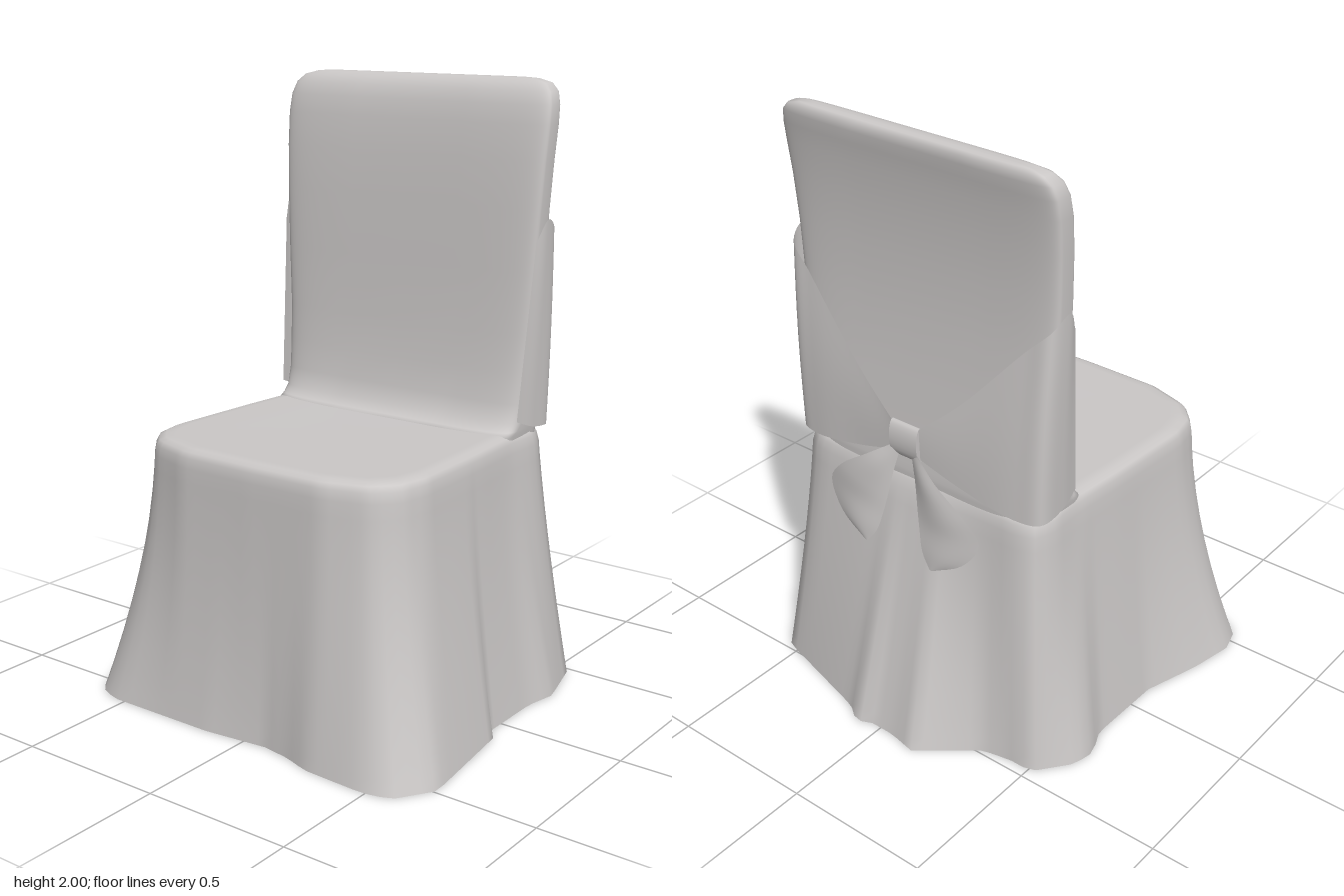
import * as THREE from 'three';

const fabric = new THREE.MeshStandardMaterial({ color: 0xcbc8c7, side: THREE.DoubleSide });
fabric.name = 'grey fabric';

// Skin a list of rows (each a list of [x, y, z]) into a smooth surface.
function loft(rows, closed) {
  const n = rows[0].length, index = [];
  for (let i = 0; i < rows.length - 1; i++) {
    for (let j = 0; j < (closed ? n : n - 1); j++) {
      const k = (j + 1) % n;
      const a = i * n + j, b = i * n + k, c = (i + 1) * n + k, d = (i + 1) * n + j;
      index.push(a, b, c, a, c, d);
    }
  }
  const g = new THREE.BufferGeometry();
  g.setAttribute('position', new THREE.Float32BufferAttribute(rows.flat(2), 3));
  g.setIndex(index);
  g.computeVertexNormals();
  return g;
}

function part(name, geometry) {
  const m = new THREE.Mesh(geometry, fabric);
  m.name = name;
  return m;
}

const CZ = 0.07; // centre of the seat plan

// Distance from the seat centre to a plan outline along angle a.
function reach(outline, a) {
  const dx = Math.sin(a), dz = Math.cos(a);
  let best = 0;
  outline.forEach(([x1, z1], i) => {
    const [x2, z2] = outline[(i + 1) % outline.length];
    const ex = x2 - x1, ez = z2 - z1, det = ex * dz - ez * dx;
    if (Math.abs(det) < 1e-9) return;
    const t = (ex * (z1 - CZ) - ez * x1) / det;
    const s = (dx * (z1 - CZ) - dz * x1) / det;
    if (t > 0 && s >= -1e-6 && s <= 1 + 1e-6) best = Math.max(best, t);
  });
  return best;
}

// Draped skirt with a wavy hem, closed by the seat top.
function skirtGeometry() {
  const hem = [
    [-0.14, 0.6], [0.08, 0.575], [0.18, 0.59], [0.27, 0.62], [0.49, 0.63], [0.58, 0.61], [0.66, 0.49],
    [0.645, 0.37], [0.61, 0.1], [0.577, 0.08], [0.577, -0.17], [0.6, -0.28], [0.545, -0.48], [0.15, -0.59],
    [0.09, -0.635], [0.04, -0.61], [-0.05, -0.61], [-0.15, -0.63], [-0.33, -0.485], [-0.43, -0.465],
    [-0.51, -0.465], [-0.6, -0.35], [-0.615, -0.27], [-0.575, -0.18], [-0.58, 0.1], [-0.64, 0.3],
    [-0.67, 0.46], [-0.64, 0.56], [-0.55, 0.6]];
  const half = [[0.27, 0.545], [0.42, 0.5], [0.485, 0.43], [0.505, 0.33], [0.49, 0],
    [0.475, -0.2], [0.48, -0.32], [0.46, -0.385], [0.4, -0.41]];
  const seat = [[0, 0.55], ...half, [0, -0.415], ...half.map(([x, z]) => [-x, z]).reverse()];
  const N = 120, rays = [];
  for (let j = 0; j < N; j++) {
    const a = (j / N) * Math.PI * 2, c = Math.cos(a);
    // the front hangs straighter than the back
    rays.push({ a, hem: reach(hem, a), seat: reach(seat, a), p: c > 0 ? 1.4 + 0.8 * c * c : 1.4 - 0.3 * c * c });
  }
  const at = (ray, r, y) => [Math.sin(ray.a) * r, y, CZ + Math.cos(ray.a) * r];
  const rows = [0, 0.04, 0.1, 0.2, 0.3, 0.4, 0.5, 0.6, 0.7, 0.78, 0.83].map(y =>
    rays.map(r => at(r, r.seat + (r.hem - r.seat) * Math.pow(1 - y / 0.89, r.p), y)));
  for (const [y, k] of [[0.862, 0.993], [0.88, 0.975], [0.888, 0.94], [0.89, 0.88], [0.888, 0.5], [0.887, 0.001]])
    rows.push(rays.map(r => at(r, r.seat * k, y)));
  return loft(rows, true);
}

// Covered backrest: rounded sections of [y, half width, front z, back z].
function backrestGeometry() {
  const sections = [
    [0.8, 0.46, -0.14, -0.405], [0.88, 0.47, -0.125, -0.408], [0.895, 0.472, -0.16, -0.408],
    [0.92, 0.474, -0.19, -0.406], [0.98, 0.476, -0.212, -0.4], [1.08, 0.479, -0.225, -0.392],
    [1.2, 0.484, -0.24, -0.382], [1.4, 0.494, -0.25, -0.368], [1.6, 0.504, -0.26, -0.368],
    [1.75, 0.511, -0.27, -0.377], [1.86, 0.515, -0.283, -0.39], [1.92, 0.512, -0.295, -0.4],
    [1.96, 0.5, -0.31, -0.408], [1.985, 0.475, -0.33, -0.408], [1.997, 0.43, -0.35, -0.398],
    [2, 0.38, -0.365, -0.385], [2, 0.001, -0.374, -0.376]];
  const N = 72, sq = v => Math.sign(v) * Math.pow(Math.abs(v), 0.36);
  return loft(sections.map(([y, w, f, b]) => Array.from({ length: N }, (_, j) => {
    const a = (j / N) * Math.PI * 2;
    return [w * sq(Math.sin(a)), y, (f + b) / 2 + (f - b) / 2 * sq(Math.cos(a))];
  })), true);
}

const curve = pts => new THREE.CatmullRomCurve3(pts.map(p => new THREE.Vector3(...p)));

// Surface stretched between two edge curves, with a bulge towards the back.
function between(edgeA, edgeB, nu, nv, bulge, side) {
  const A = curve(edgeA), B = curve(edgeB), rows = [];
  for (let i = 0; i <= nu; i++) {
    const a = A.getPoint(i / nu), b = B.getPoint(i / nu), row = [];
    for (let j = 0; j <= nv; j++) {
      const p = a.clone().lerp(b, j / nv);
      row.push([p.x * side, p.y, p.z - bulge * Math.sin(Math.PI * j / nv) * Math.sin(Math.PI * i / nu)]);
    }
    rows.push(side > 0 ? row : row.reverse());
  }
  return loft(rows, false);
}

export function createModel() {
  const group = new THREE.Group();
  group.name = 'chairCover';
  group.add(part('seatAndSkirt', skirtGeometry()), part('backrest', backrestGeometry()));

  for (const [side, label] of [[1, 'left'], [-1, 'right']]) {
    // Sash gathers from the side of the backrest into the knot
    group.add(part(label + 'Sash', between(
      [[0.5, 1.5, -0.27], [0.515, 1.57, -0.315], [0.5, 1.53, -0.377], [0.42, 1.45, -0.395], [0.2, 1.21, -0.425], [0.04, 1.07, -0.445]],
      [[0.478, 0.93, -0.215], [0.49, 0.9, -0.3], [0.482, 0.89, -0.395], [0.4, 0.89, -0.42], [0.2, 0.93, -0.432], [0.04, 0.98, -0.44]],
      30, 8, 0.008, side)));
    // Hanging bow tail
    group.add(part(label + 'BowTail', between(
      [[0.035, 1.01, -0.448], [0.14, 0.94, -0.475], [0.25, 0.86, -0.475], [0.305, 0.78, -0.465], [0.25, 0.69, -0.48], [0.14, 0.63, -0.495]],
      [[0.025, 0.98, -0.445], [0.045, 0.9, -0.455], [0.06, 0.82, -0.465], [0.075, 0.75, -0.475], [0.095, 0.68, -0.487], [0.13, 0.63, -0.495]],
      20, 8, 0.018, side)));
  }

  // Knot: flattened band around the gathered sash
  const knot = part('knot', new THREE.CylinderGeometry(0.06, 0.06, 0.11, 20, 1));
  knot.geometry.rotateZ(Math.PI / 2);
  knot.scale.set(1, 1, 0.33);
  knot.position.set(0, 1.025, -0.438);
  group.add(knot);
  return group;
}
